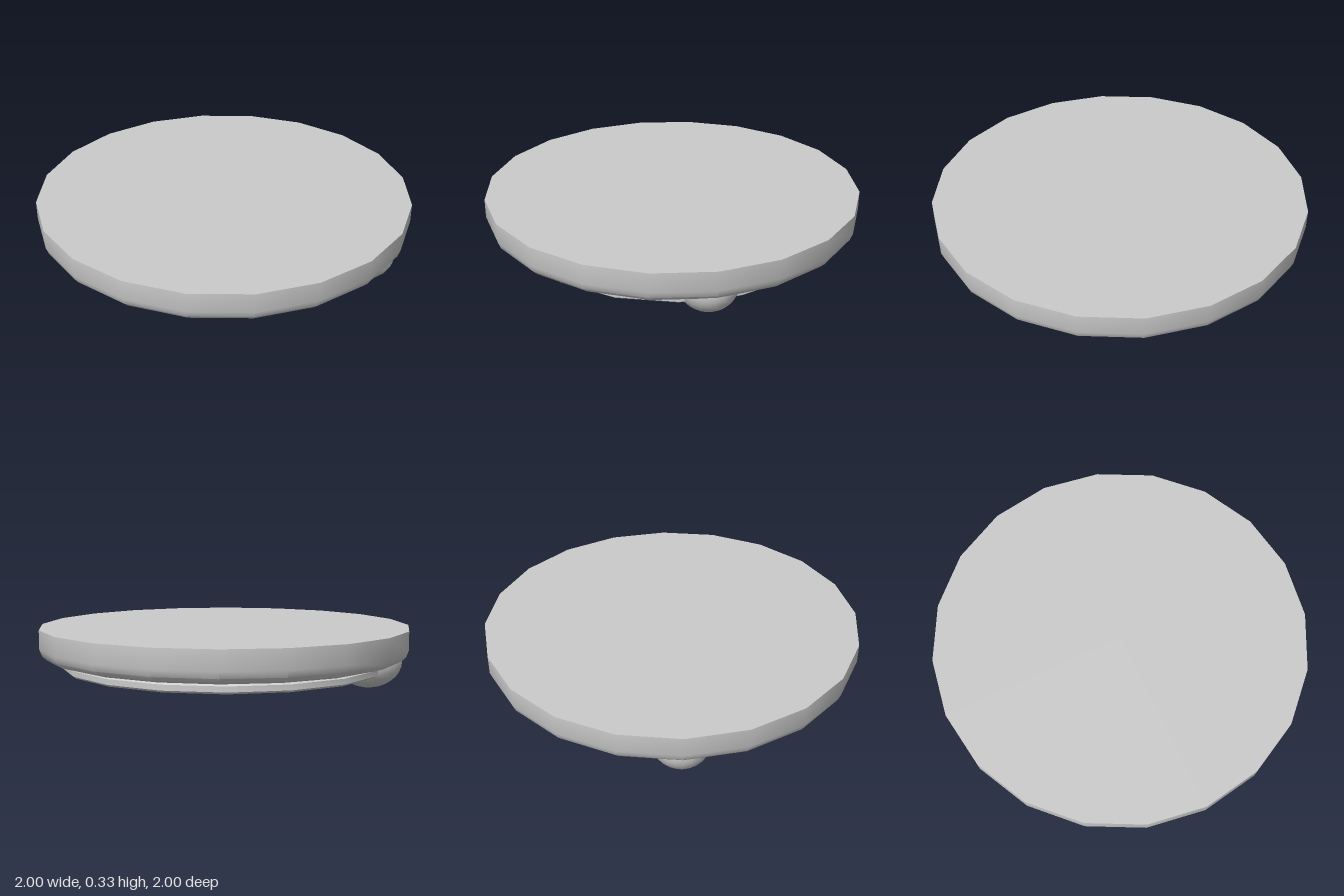
import * as THREE from 'three';
import { toCreasedNormals } from 'three/addons/utils/BufferGeometryUtils.js';

const material = new THREE.MeshStandardMaterial({ color: 0xcccccc });

// Revolved part; profile points are [radius, height], listed from the bottom up
function turned(name, profile, sides) {
  const points = profile.map(([r, y]) => new THREE.Vector2(r, y));
  const geometry = toCreasedNormals(new THREE.LatheGeometry(points, sides), 0.5);
  const mesh = new THREE.Mesh(geometry, material);
  mesh.name = name;
  return mesh;
}

export function createModel() {
  const model = new THREE.Group();
  model.name = 'roundDish';

  // Flat-topped disc with a rounded lower edge
  model.add(turned('disc', [
    [0, 0.165], [0.92, 0.165], [0.965, 0.178], [0.987, 0.2], [1, 0.235], [1, 0.335], [0, 0.335],
  ], 20));

  // Shallow spherical bulge underneath
  const domeRadius = 2.05;
  const domeProfile = [0, 0.1, 0.2, 0.3, 0.4, 0.53, 0.65, 0.74, 0.81].map(
    (r) => [r, domeRadius - Math.sqrt(domeRadius ** 2 - r ** 2) + 0.004]);
  model.add(turned('dome', domeProfile, 20));

  // Raised rim around the bulge, with narrow bevels
  model.add(turned('rimRing', [
    [0.79, 0.117], [0.797, 0.109], [0.866, 0.109], [0.88, 0.12],
    [0.88, 0.148], [0.866, 0.158], [0.866, 0.17], [0.79, 0.17], [0.79, 0.117],
  ], 18));

  // Rounded feet on both sides
  for (const [name, side] of [['leftFoot', 1], ['rightFoot', -1]]) {
    const foot = new THREE.Mesh(new THREE.SphereGeometry(1, 24, 16), material);
    foot.name = name;
    foot.scale.set(0.178, 0.145, 0.155);
    foot.position.set(side * 0.79, 0.18, 0);
    model.add(foot);
  }
  return model;
}
